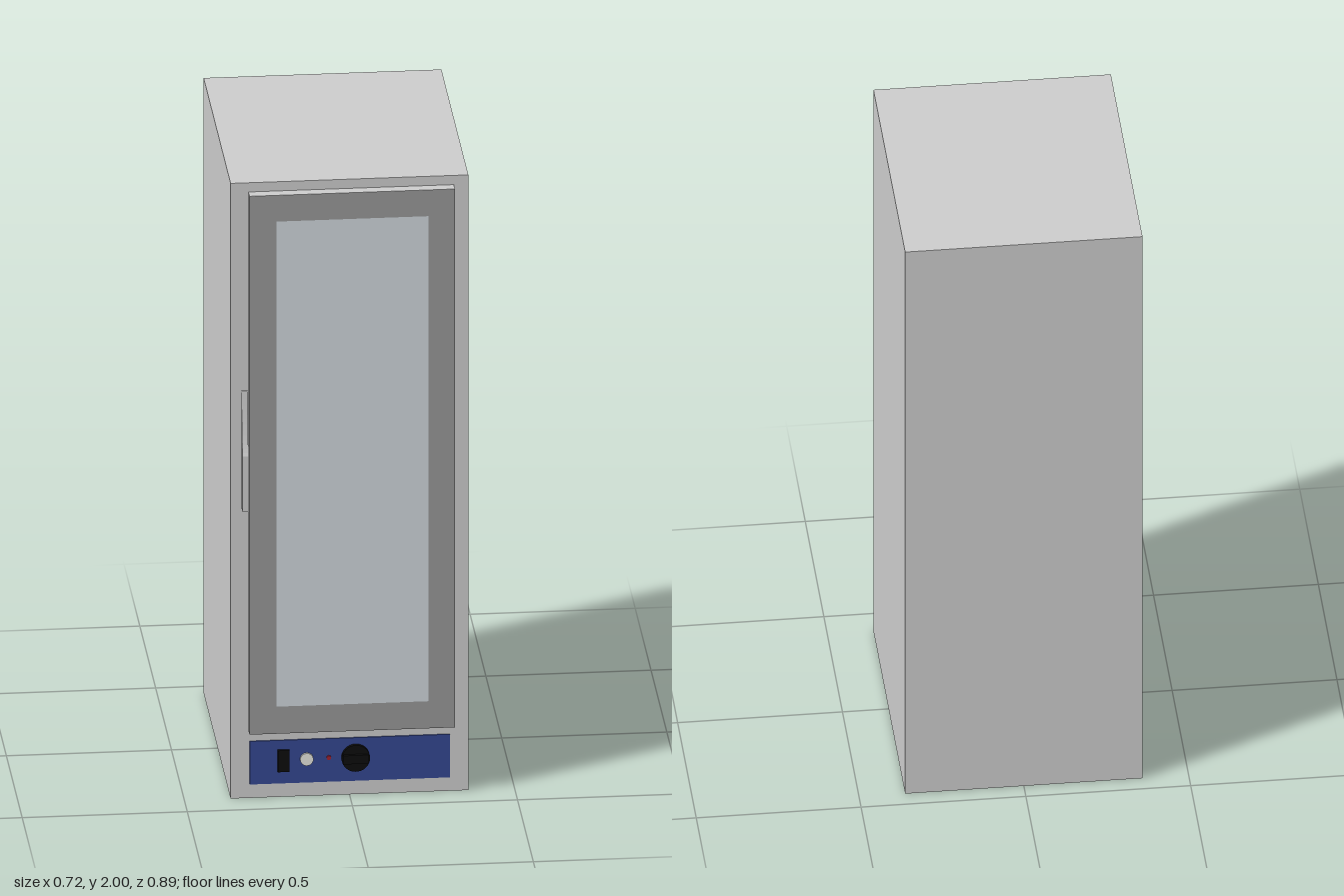
import * as THREE from 'three';

const FRONT = 0.407; // cabinet front plane
const DOOR = 0.443; // door front plane

const material = (color = 0xcccccc) => new THREE.MeshStandardMaterial({ color });

function add(group, name, geometry, mat, x, y, z) {
  const mesh = new THREE.Mesh(geometry, mat);
  mesh.name = name;
  mesh.position.set(x, y, z);
  group.add(mesh);
  return mesh;
}

// Box given by its lower and upper limits
function addBox(group, name, mat, [x0, x1], [y0, y1], [z0, z1]) {
  return add(group, name, new THREE.BoxGeometry(x1 - x0, y1 - y0, z1 - z0), mat,
    (x0 + x1) / 2, (y0 + y1) / 2, (z0 + z1) / 2);
}

// Disc whose axis points forward, standing between z0 and z1
function addDisc(group, name, mat, r, x, y, z0, z1) {
  const geometry = new THREE.CylinderGeometry(r, r, z1 - z0, 32).rotateX(Math.PI / 2);
  return add(group, name, geometry, mat, x, y, (z0 + z1) / 2);
}

// One mitred, flat strip of the door frame
function frameStrip(corners) {
  return new THREE.ShapeGeometry(new THREE.Shape(corners.map(([x, y]) => new THREE.Vector2(x, y))));
}

export function createModel() {
  const model = new THREE.Group();
  model.name = 'displayCabinet';
  const grey = material();
  const darkGrey = material(0x969696);
  const black = material(0x0c0c0c);

  addBox(model, 'cabinet', grey, [-0.36, 0.36], [0, 2], [-0.445, FRONT]);

  // Door slab with mitred dark border and glass pane
  const door = new THREE.Group();
  door.name = 'door';
  model.add(door);
  addBox(door, 'doorSlab', grey, [-0.306, 0.316], [0.22, 1.97], [FRONT, DOOR - 0.001]);
  const outer = [[-0.306, 0.22], [0.316, 0.22], [0.316, 1.97], [-0.306, 1.97]];
  const inner = [[-0.225, 0.308], [0.236, 0.308], [0.236, 1.885], [-0.225, 1.885]];
  ['Bottom', 'Right', 'Top', 'Left'].forEach((side, i) => {
    const j = (i + 1) % 4;
    add(door, 'doorFrame' + side, frameStrip([outer[i], outer[j], inner[j], inner[i]]), darkGrey, 0, 0, DOOR);
  });
  add(door, 'glassPane', frameStrip(inner), material(0xcdd4da), 0, 0, DOOR);

  // Handle: straight grip below, scooped taper above (profile in depth and height)
  const profile = new THREE.Shape();
  profile.moveTo(FRONT, 0.945);
  profile.lineTo(DOOR + 0.001, 0.945);
  profile.lineTo(DOOR + 0.001, 1.125);
  profile.quadraticCurveTo(FRONT + 0.012, 1.18, FRONT + 0.004, 1.325);
  profile.lineTo(FRONT, 1.325);
  const handle = new THREE.ExtrudeGeometry(profile, { depth: 0.018, bevelEnabled: false, curveSegments: 12 });
  handle.rotateY(-Math.PI / 2); // depth now runs along -x, profile along z
  add(model, 'handle', handle, grey, -0.309, 0, 0);

  // Control panel with switch, lamps and knob
  const controls = new THREE.Group();
  controls.name = 'controls';
  model.add(controls);
  const PANEL = FRONT + 0.004;
  addBox(controls, 'controlPanel', material(0x344690), [-0.302, 0.304], [0.045, 0.185], [FRONT, PANEL]);
  addBox(controls, 'powerSwitch', black, [-0.218, -0.183], [0.085, 0.155], [PANEL, 0.42]);
  addDisc(controls, 'whiteLamp', material(0xe4e4de), 0.02, -0.13, 0.122, PANEL, 0.418);
  addDisc(controls, 'redLamp', material(0xa02030), 0.007, -0.063, 0.124, PANEL, 0.415);
  addDisc(controls, 'knobBase', black, 0.043, 0.018, 0.122, PANEL, 0.423);
  addBox(controls, 'knobGrip', black, [-0.02, 0.056], [0.108, 0.136], [0.423, 0.433]);

  return model;
}
